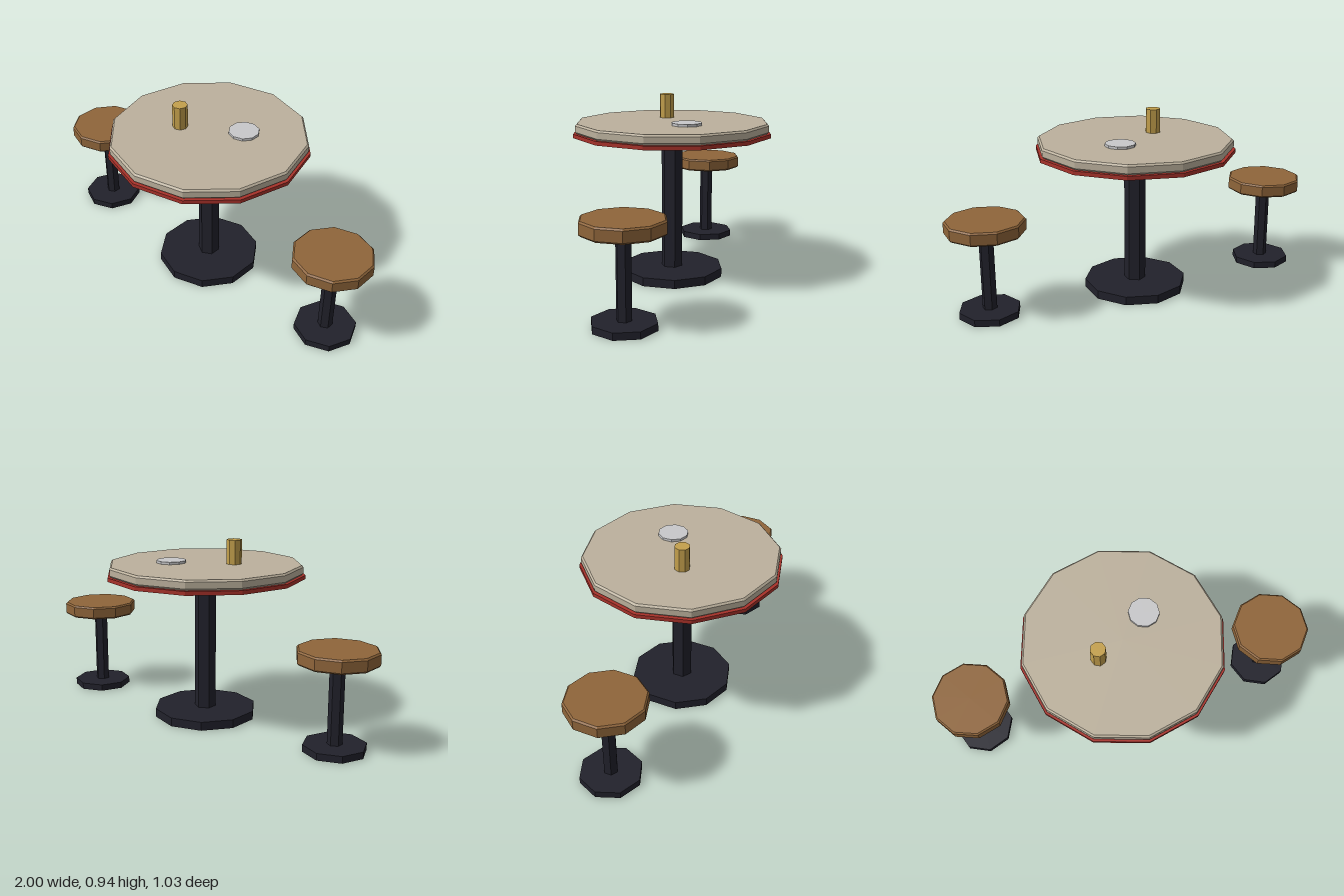
import * as THREE from 'three';

const mat = (name, color) => {
  const m = new THREE.MeshStandardMaterial({ color });
  m.name = name;
  return m;
};

export function createModel() {
  const cream = mat('cream', 0xbcb19d);
  const red = mat('red', 0xa8322a);
  const wood = mat('wood', 0x8f653a);
  const iron = mat('dark iron', 0x21212b);
  const gold = mat('gold', 0xc4a04c);
  const silver = mat('silver', 0xc8c8ca);

  const model = new THREE.Group();
  model.name = 'tableWithStools';

  // Faceted disc or post between two heights, with optional bevelled rims
  const disc = (parent, name, material, radius, y0, y1, sides, bevel = 0, x = 0, z = 0) => {
    const profile = bevel
      ? [[0, y0], [radius - bevel, y0], [radius, y0 + bevel], [radius, y1 - bevel], [radius - bevel, y1], [0, y1]]
      : [[0, y0], [radius, y0], [radius, y1], [0, y1]];
    const lathe = new THREE.LatheGeometry(profile.map(([r, y]) => new THREE.Vector2(r, y)), sides);
    const geometry = lathe.toNonIndexed();
    geometry.computeVertexNormals(); // flat facets
    const mesh = new THREE.Mesh(geometry, material);
    mesh.name = name;
    mesh.position.set(x, 0, z);
    parent.add(mesh);
  };

  // Table
  const table = new THREE.Group();
  table.name = 'table';
  disc(table, 'tableBase', iron, 0.27, 0, 0.045, 10);
  disc(table, 'tableColumn', iron, 0.056, 0.045, 0.75, 6);
  disc(table, 'tableTrim', red, 0.515, 0.75, 0.77, 12);
  disc(table, 'tableTop', cream, 0.505, 0.77, 0.82, 12, 0.009);
  model.add(table);

  // Items on the table
  disc(model, 'cup', gold, 0.039, 0.82, 0.945, 8, 0, -0.137, 0.066);
  disc(model, 'plate', silver, 0.078, 0.82, 0.833, 10, 0, 0.135, -0.112);

  // One stool on each side
  for (const side of [-1, 1]) {
    const stool = new THREE.Group();
    stool.name = side > 0 ? 'leftStool' : 'rightStool';
    stool.position.x = side * 0.81;
    disc(stool, 'stoolBase', iron, 0.157, 0, 0.035, 8);
    disc(stool, 'stoolColumn', iron, 0.037, 0.035, 0.44, 6);
    disc(stool, 'stoolSeat', wood, 0.2, 0.437, 0.505, 10, 0.008);
    model.add(stool);
  }
  return model;
}
